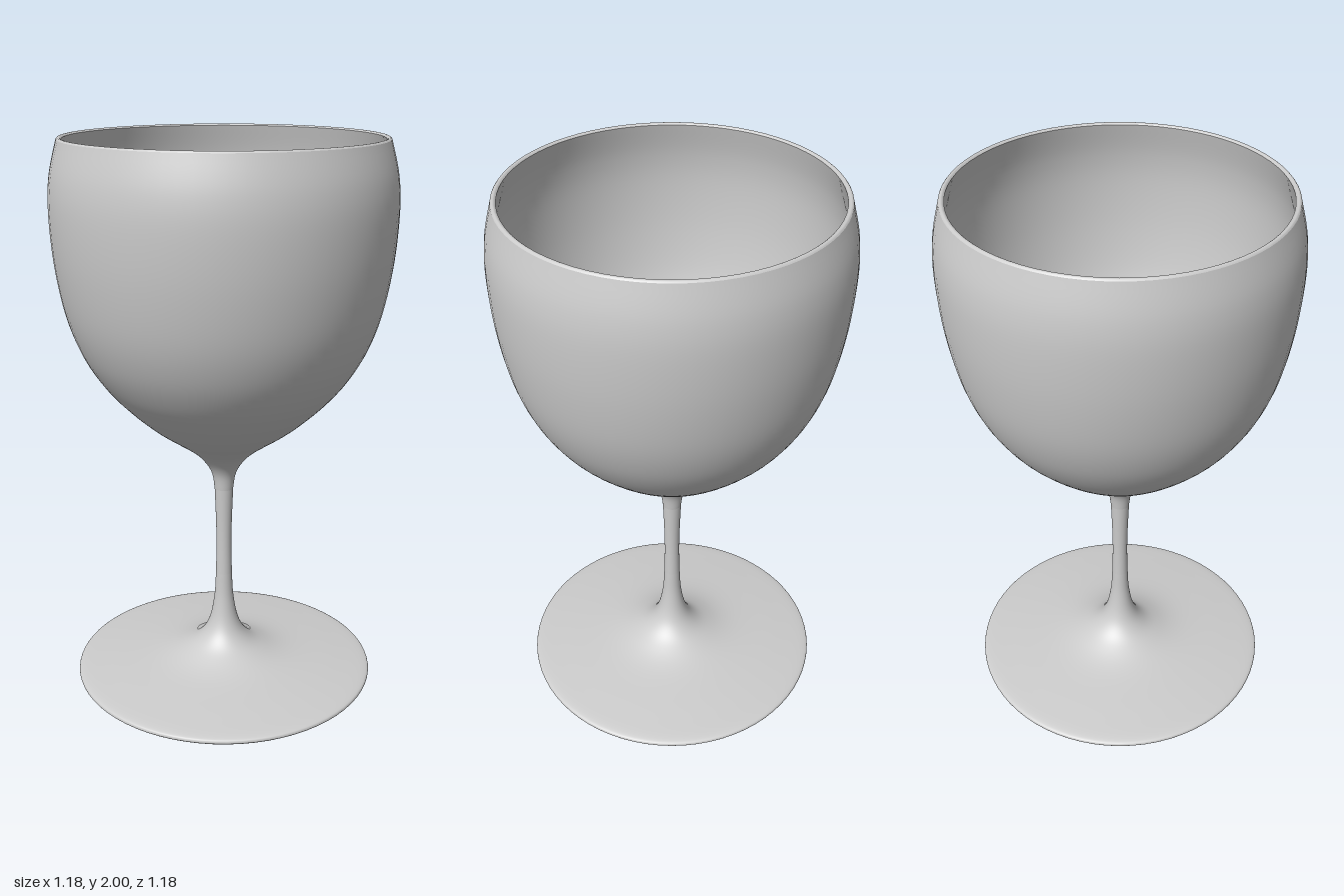
import * as THREE from 'three';

const SEGMENTS = 72;
const material = new THREE.MeshStandardMaterial({ color: 0xcccccc });

// Revolve a smooth curve through [radius, height] points
function turned(name, points, samples) {
  const curve = new THREE.SplineCurve(points.map(([r, y]) => new THREE.Vector2(r, y)));
  const profile = curve.getPoints(samples);
  profile.forEach((p) => { p.x = Math.max(p.x, 0); });
  const mesh = new THREE.Mesh(new THREE.LatheGeometry(profile, SEGMENTS), material);
  mesh.name = name;
  return mesh;
}

export function createModel() {
  const goblet = new THREE.Group();
  goblet.name = 'goblet';

  // Foot: thin rounded edge sweeping up into the stem
  goblet.add(turned('foot', [
    [0.52, 0], [0.545, 0.012], [0.555, 0.025], [0.535, 0.037], [0.43, 0.051],
    [0.25, 0.073], [0.15, 0.104], [0.09, 0.145], [0.055, 0.205],
    [0.036, 0.3], [0.03, 0.4],
  ], 60));

  // Flat underside of the foot
  const underside = new THREE.Mesh(new THREE.CircleGeometry(0.52, SEGMENTS), material);
  underside.name = 'footUnderside';
  underside.rotation.x = Math.PI / 2;
  goblet.add(underside);

  // Stem
  goblet.add(turned('stem', [
    [0.03, 0.4], [0.028, 0.5], [0.029, 0.6], [0.034, 0.74],
  ], 12));

  // Bowl outside, flaring from the stem and closing in towards the rim
  goblet.add(turned('bowlOutside', [
    [0.034, 0.74], [0.044, 0.8], [0.073, 0.85], [0.125, 0.9], [0.26, 0.995],
    [0.37, 1.095], [0.445, 1.185], [0.505, 1.29], [0.55, 1.42], [0.58, 1.59],
    [0.591, 1.76], [0.583, 1.88], [0.555, 1.995],
  ], 72));

  // Rounded lip
  goblet.add(turned('rim', [
    [0.555, 1.995], [0.55, 2], [0.543, 2], [0.537, 1.995],
  ], 9));

  // Bowl inside, a thin wall away from the outside
  goblet.add(turned('bowlInside', [
    [0.537, 1.995], [0.563, 1.88], [0.571, 1.76], [0.56, 1.59], [0.53, 1.42],
    [0.486, 1.3], [0.427, 1.2], [0.355, 1.115], [0.25, 1.02], [0.12, 0.945], [0, 0.92],
  ], 64));

  return goblet;
}
